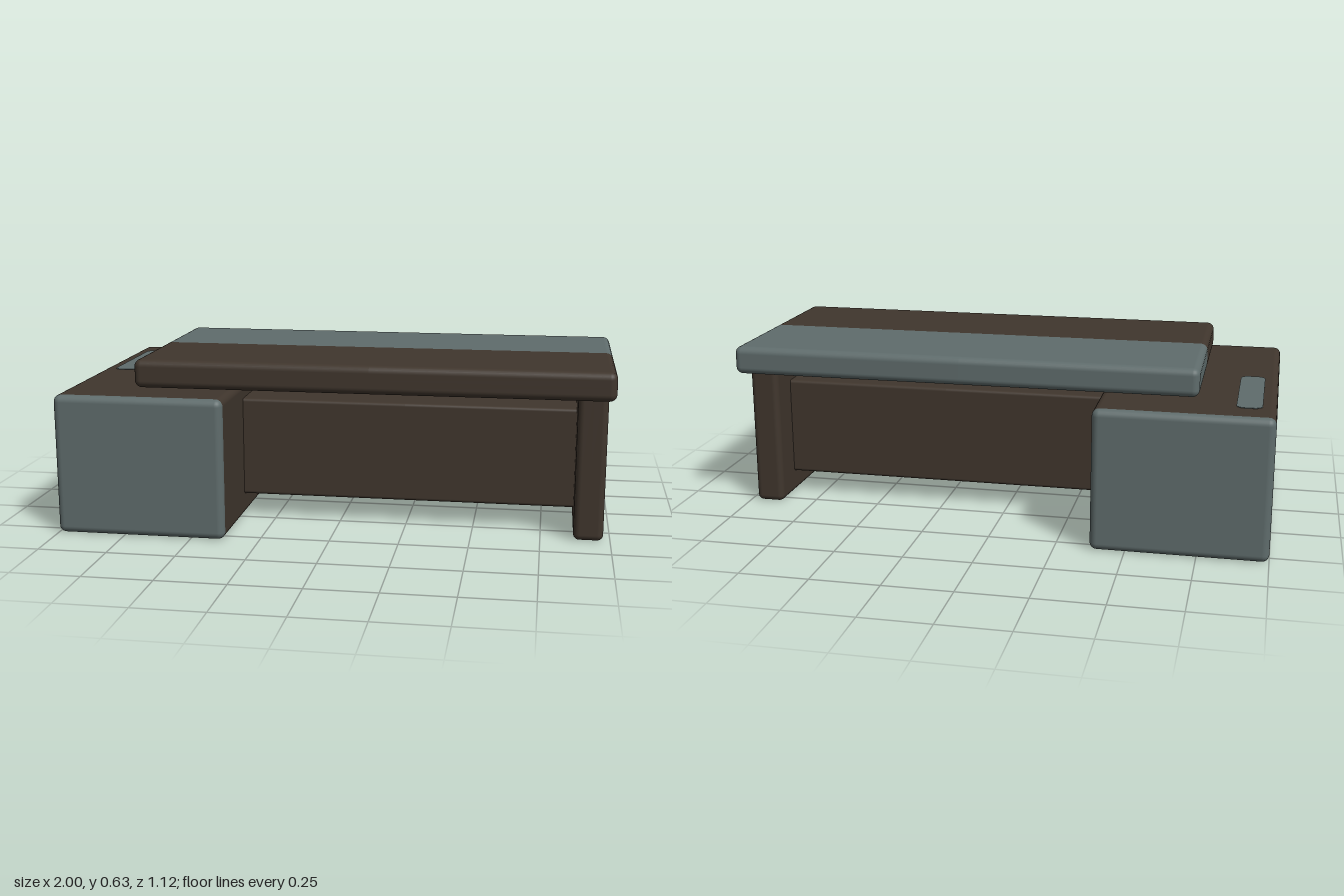
import * as THREE from 'three';

const brown = new THREE.MeshStandardMaterial({ color: 0x40362d });
brown.name = 'dark wood';
const grey = new THREE.MeshStandardMaterial({ color: 0x5f6c6c });
grey.name = 'slate grey';

const STEPS = 4; // grid cells per half side: three for the rounding, one for the flat

// Rounded box given by its limits on each axis; isGrey(z) picks the colour of each face
function roundedBox(name, [x0, x1], [y0, y1], [z0, z1], r, isGrey = () => false) {
  const n = STEPS * 2;
  const geo = new THREE.BoxGeometry(1, 1, 1, n, n, n);
  const pos = geo.attributes.position;
  const nor = geo.attributes.normal;
  const half = [(x1 - x0) / 2, (y1 - y0) / 2, (z1 - z0) / 2];
  const mid = [(x0 + x1) / 2, (y0 + y1) / 2, (z0 + z1) / 2];
  const p = new THREE.Vector3();
  const d = new THREE.Vector3();

  for (let i = 0; i < pos.count; i++) {
    for (let a = 0; a < 3; a++) {
      const k = Math.round(pos.getComponent(i, a) * n); // -STEPS..STEPS
      const side = Math.sign(k);
      const step = Math.max(0, Math.abs(k) - 1) / (STEPS - 1);
      d.setComponent(a, side * Math.tan(step * Math.PI / 4));
      p.setComponent(a, mid[a] + side * (half[a] - r));
    }
    d.normalize();
    nor.setXYZ(i, d.x, d.y, d.z);
    p.addScaledVector(d, r);
    pos.setXYZ(i, p.x, p.y, p.z);
  }

  // Sort the triangles into two colour groups
  const sorted = [[], []];
  const index = geo.index.array;
  for (let i = 0; i < index.length; i += 3) {
    const tri = [index[i], index[i + 1], index[i + 2]];
    const z = tri.reduce((sum, v) => sum + pos.getZ(v), 0) / 3;
    sorted[isGrey(z) ? 1 : 0].push(...tri);
  }
  geo.setIndex([...sorted[0], ...sorted[1]]);
  geo.clearGroups();
  geo.addGroup(0, sorted[0].length, 0);
  geo.addGroup(sorted[0].length, sorted[1].length, 1);

  const mesh = new THREE.Mesh(geo, [brown, grey]);
  mesh.name = name;
  return mesh;
}

// Flat inlay with rounded corners, lying on a horizontal surface
function inlay(name, x0, x1, z0, z1, y, r) {
  const s = new THREE.Shape();
  s.absarc(x1 - r, -z0 - r, r, 0, Math.PI / 2);
  s.absarc(x0 + r, -z0 - r, r, Math.PI / 2, Math.PI);
  s.absarc(x0 + r, -z1 + r, r, Math.PI, Math.PI * 1.5);
  s.absarc(x1 - r, -z1 + r, r, Math.PI * 1.5, Math.PI * 2);
  const geo = new THREE.ExtrudeGeometry(s, { depth: 0.004, bevelEnabled: false, curveSegments: 6 });
  geo.rotateX(-Math.PI / 2);
  const mesh = new THREE.Mesh(geo, grey);
  mesh.name = name;
  mesh.position.y = y - 0.002;
  return mesh;
}

export function createModel() {
  const desk = new THREE.Group();
  desk.name = 'desk';
  desk.add(
    // Side cabinet with grey front and back ends
    roundedBox('cabinet', [-1, -0.375], [0, 0.515], [-0.558, 0.558], 0.026, z => Math.abs(z) > 0.532),
    inlay('cabinetInlay', -0.95, -0.86, -0.43, 0.02, 0.515, 0.03),
    // Worktop, grey on its rear half
    roundedBox('worktop', [-0.73, 0.998], [0.528, 0.632], [-0.388, 0.445], 0.026, z => z < 0.0285),
    // Leg panel and the deep beam that joins it to the cabinet
    roundedBox('legPanel', [0.868, 0.975], [0, 0.55], [-0.302, 0.362], 0.022),
    roundedBox('beam', [-0.42, 0.9], [0.085, 0.457], [-0.17, 0.23], 0.012)
  );
  return desk;
}
